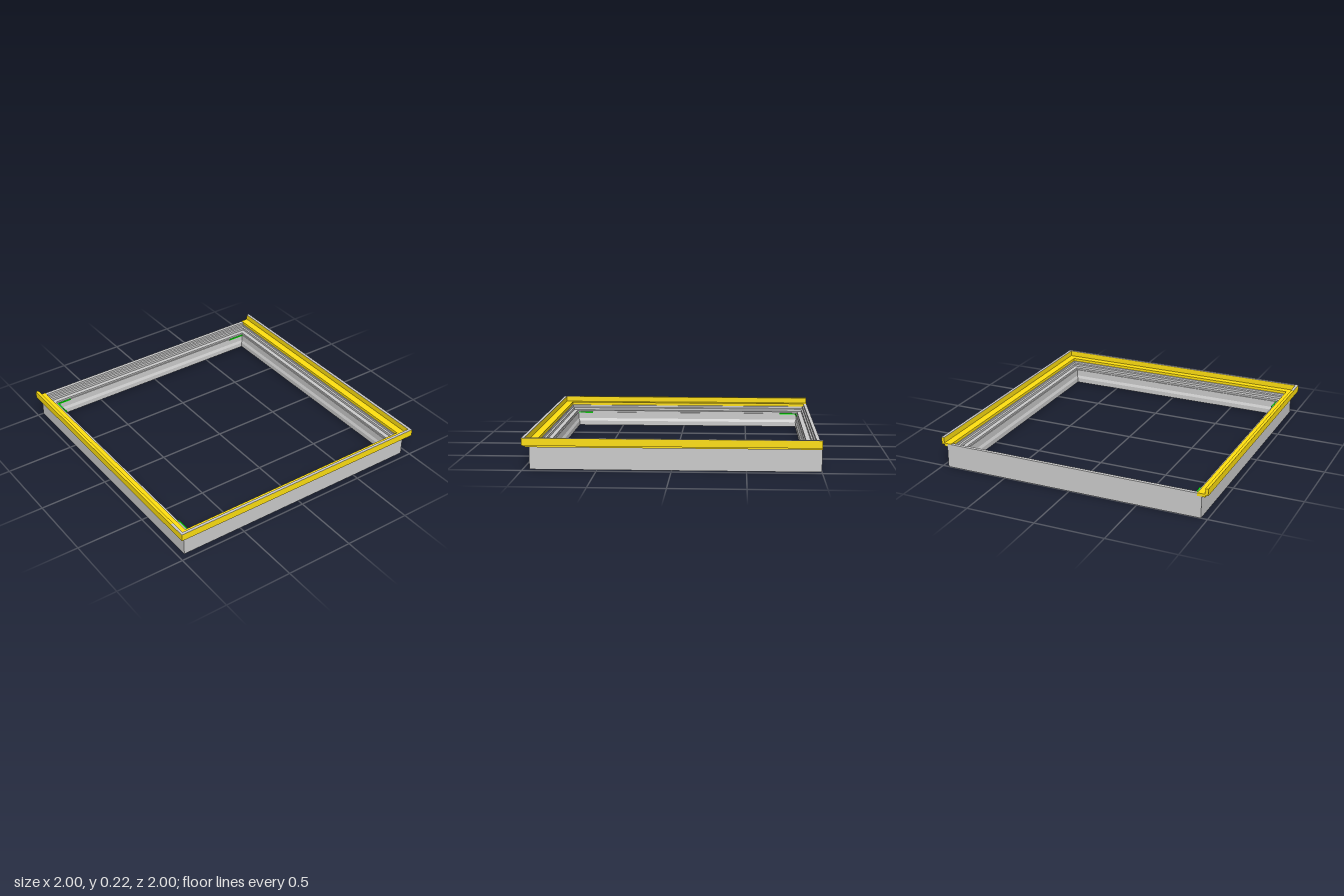
import * as THREE from 'three';

const grey = new THREE.MeshStandardMaterial({ color: 0xcccccc });
const yellow = new THREE.MeshStandardMaterial({ color: 0xffe010 });
const green = new THREE.MeshStandardMaterial({ color: 0x00ff00 });

// Outer faces of the frame
const SIDE = 0.955, FRONT = 0.955, BACK = -1;
// Corners in order: left rear, left front, right front, right rear
const CORNERS = [[-1, -1], [-1, 1], [1, 1], [1, -1]];

// Sweep a counterclockwise profile [inset, height] around the mitred rectangle.
// An open sweep leaves out the back and ends square on the back plane.
function sweep(name, profile, material, closed) {
  const at = (k, [d, y]) => {
    const [sx, sz] = CORNERS[k % 4];
    const z = sz > 0 ? FRONT - d : BACK + (closed ? d : 0);
    return [sx * (SIDE - d), y, z];
  };
  const pos = [], n = profile.length;
  for (let k = 0; k < (closed ? 4 : 3); k++) {
    for (let i = 0; i < n; i++) {
      const p = profile[i], q = profile[(i + 1) % n];
      const a = at(k, p), b = at(k, q), c = at(k + 1, q), d = at(k + 1, p);
      pos.push(...a, ...b, ...c, ...a, ...c, ...d);
    }
  }
  if (!closed) {
    const tris = THREE.ShapeUtils.triangulateShape(profile.map(p => new THREE.Vector2(...p)), []);
    for (const [a, b, c] of tris) {
      pos.push(...at(0, profile[a]), ...at(0, profile[c]), ...at(0, profile[b]));
      pos.push(...at(3, profile[a]), ...at(3, profile[b]), ...at(3, profile[c]));
    }
  }
  const geo = new THREE.BufferGeometry();
  geo.setAttribute('position', new THREE.Float32BufferAttribute(pos, 3));
  geo.computeVertexNormals();
  const mesh = new THREE.Mesh(geo, material);
  mesh.name = name;
  return mesh;
}

function box(name, x0, x1, y0, y1, z0, z1, material) {
  const mesh = new THREE.Mesh(new THREE.BoxGeometry(x1 - x0, y1 - y0, z1 - z0), material);
  mesh.position.set((x0 + x1) / 2, (y0 + y1) / 2, (z0 + z1) / 2);
  mesh.name = name;
  return mesh;
}

export function createModel() {
  const group = new THREE.Group();
  group.name = 'frame';

  // Grey base frame with stepped inner ledges
  group.add(sweep('baseFrame', [
    [0, 0], [0.095, 0], [0.095, 0.035], [0.086, 0.055], [0.086, 0.105],
    [0.078, 0.105], [0.078, 0.118], [0.045, 0.118], [0.045, 0.135],
    [0.034, 0.14], [0.034, 0.155], [0.025, 0.16], [0.025, 0.175], [0, 0.175],
  ], grey, true));

  // Yellow trim on the left, front and right: flat ledge with a raised outer lip
  group.add(sweep('trim', [
    [-0.025, 0.155], [0.03, 0.155], [0.03, 0.178], [-0.024, 0.178],
    [-0.024, 0.218], [-0.045, 0.218], [-0.045, 0.168], [-0.025, 0.168],
  ], yellow, false));

  // Thin grey strips capping the lip
  group.add(box('frontLipCap', -1, 1, 0.218, 0.22, 0.979, 1, grey));
  group.add(box('rightLipCap', 0.979, 1, 0.218, 0.22, -1, 0.979, grey));
  group.add(box('leftLipCap', -1, -0.979, 0.218, 0.22, 0.87, 0.979, grey));

  // Small green corner clips on the inner ledge
  const y0 = 0.1, y1 = 0.108;
  group.add(box('backLeftClip', -0.87, -0.76, y0, y1, -0.915, -0.906, green));
  group.add(box('backRightClip', 0.74, 0.87, y0, y1, -0.915, -0.906, green));
  group.add(box('sideBackClip', -0.87, -0.861, y0, y1, -0.906, -0.78, green));
  group.add(box('sideFrontClip', -0.87, -0.861, y0, y1, 0.75, 0.865, green));
  return group;
}
